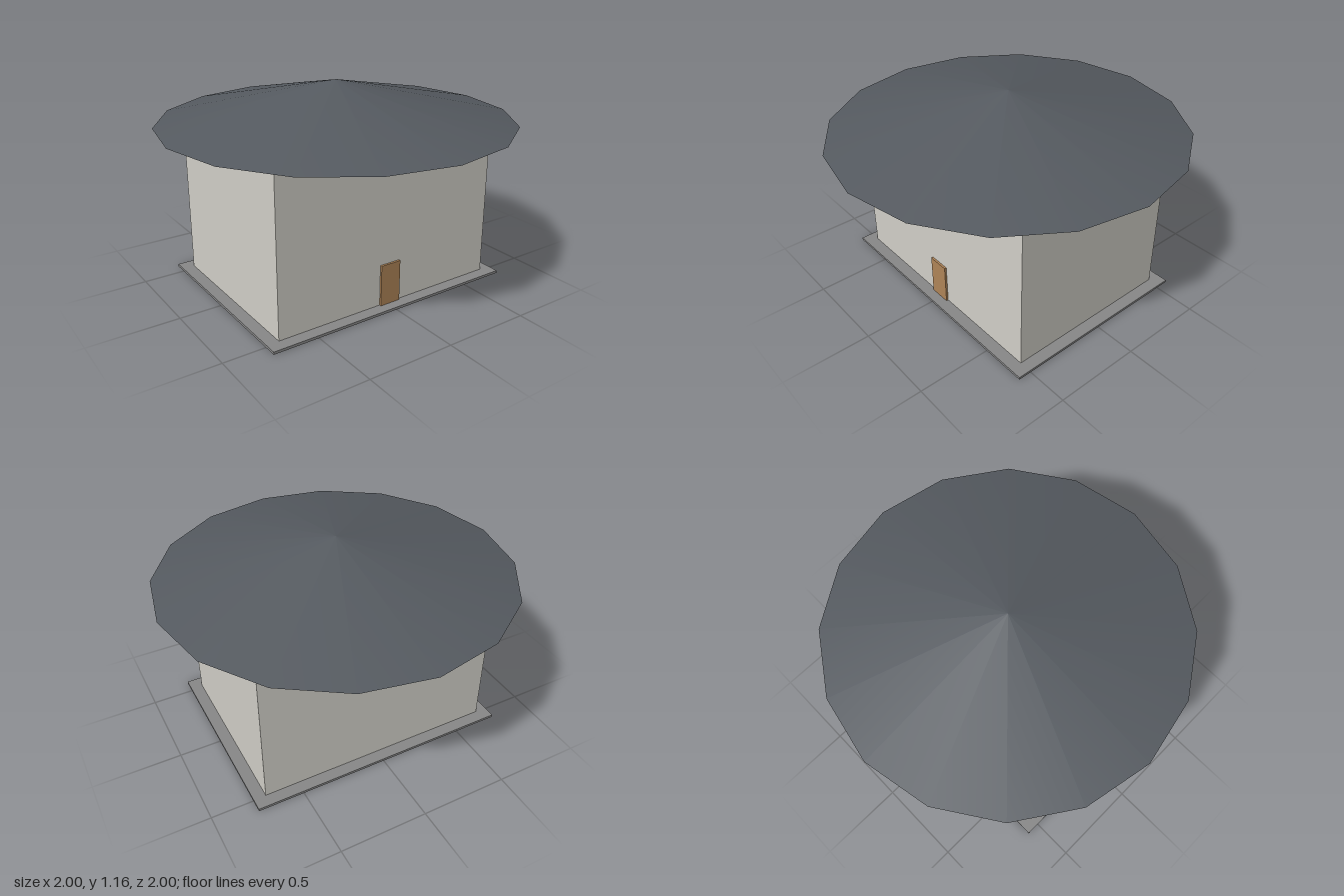
import * as THREE from 'three';

export function createModel() {
  const model = new THREE.Group();

  const add = (name, geometry, color, y, z = 0) => {
    const mesh = new THREE.Mesh(geometry, new THREE.MeshStandardMaterial({ color }));
    mesh.name = name;
    mesh.position.set(0, y, z);
    model.add(mesh);
  };

  // Thin slab the house stands on
  add('foundation', new THREE.BoxGeometry(1.526, 0.015, 1.154), 0x888888, 0.0075);

  // Plain block of walls
  add('walls', new THREE.BoxGeometry(1.387, 0.922, 1.014), 0xd2d0c8, 0.476);

  // Shallow sixteen-sided roof with wide eaves
  add('roof', new THREE.ConeGeometry(1, 0.222, 16), 0x555a60, 1.048);

  // Door, slightly proud of the front wall
  add('door', new THREE.BoxGeometry(0.126, 0.237, 0.024), 0xb08558, 0.1335, 0.507);

  return model;
}
